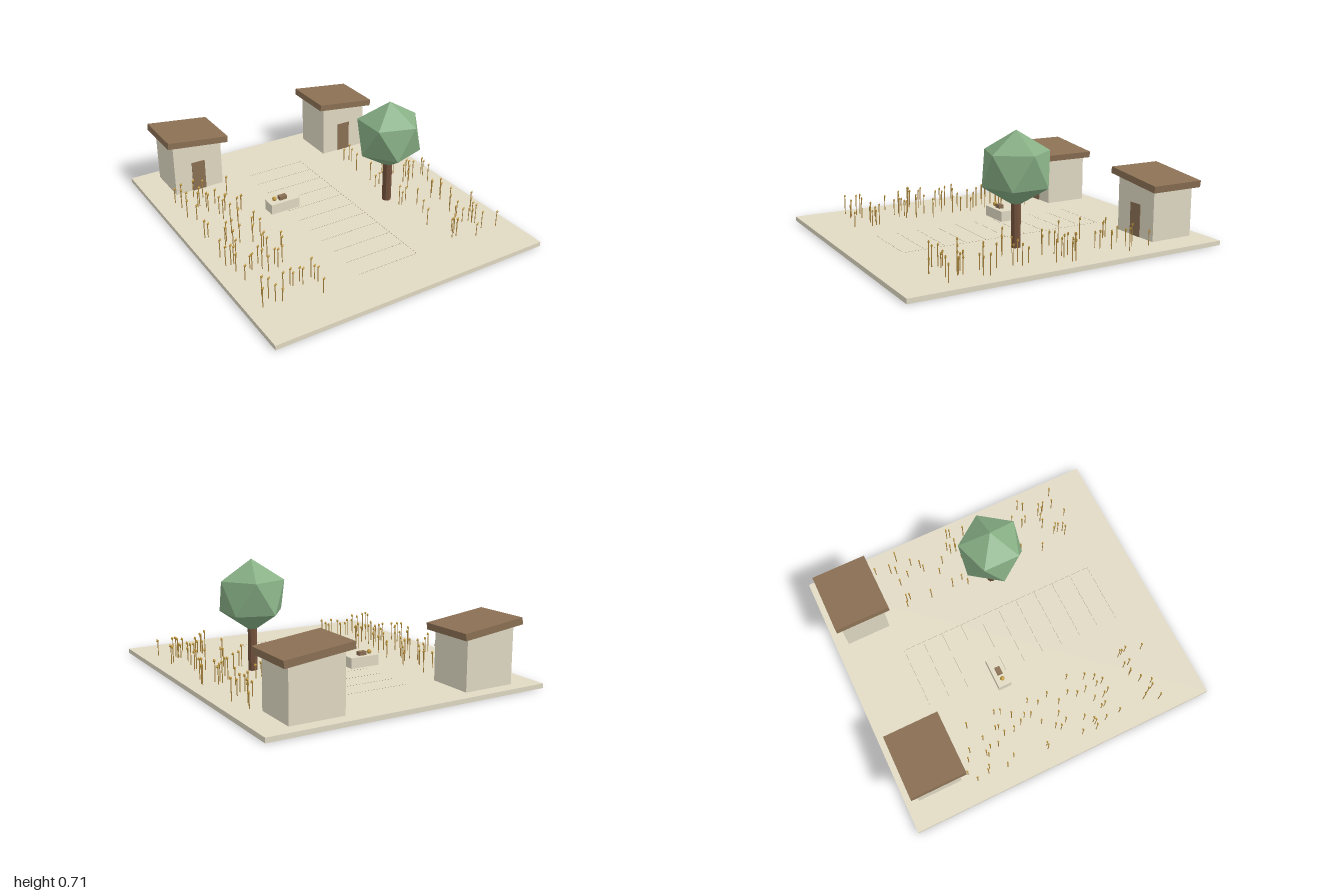
import * as THREE from 'three';

const mat = (name, color) => {
  const m = new THREE.MeshStandardMaterial({ color });
  m.name = name;
  return m;
};

export function createModel() {
  const sand = mat('sand', 0xe1dac4);
  const wood = mat('wood', 0x8b7054);
  const bark = mat('bark', 0x75533d);
  const leaf = mat('leaf', 0x87af85);
  const straw = mat('straw', 0xb08a42);
  const grain = mat('grain', 0xc29a3e);
  const soil = mat('soil', 0x8b7355);
  for (const m of [bark, leaf, grain]) m.flatShading = true;

  const root = new THREE.Group();
  root.name = 'farmYard';
  const add = (parent, name, geo, material, x = 0, y = 0, z = 0) => {
    const mesh = new THREE.Mesh(geo, material);
    mesh.name = name;
    mesh.position.set(x, y, z);
    parent.add(mesh);
    return mesh;
  };
  const box = (w, h, d) => new THREE.BoxGeometry(w, h, d);
  const G = 0.028; // ground level

  add(root, 'ground', box(1.78, G, 2), sand, 0, G / 2, 0);

  // Two huts with sloping slab roofs
  for (const x of [-0.556, 0.556]) {
    const hut = new THREE.Group();
    hut.name = 'hut';
    hut.position.set(x, 0, -0.776);
    add(hut, 'walls', box(0.328, 0.332, 0.284), sand, 0, G + 0.166, 0);
    add(hut, 'door', box(0.09, 0.2, 0.008), wood, 0, G + 0.1, 0.142);
    add(hut, 'roof', box(0.409, 0.041, 0.346), wood, 0, 0.374, 0).rotation.z = -0.12;
    root.add(hut);
  }

  // Tree: trunk and faceted crown with one vertex straight up
  const tree = new THREE.Group();
  tree.name = 'tree';
  tree.position.set(0.409, 0, 0.11);
  add(tree, 'trunk', new THREE.CylinderGeometry(0.029, 0.029, 0.28, 8), bark, 0, G + 0.14, 0);
  const crown = new THREE.IcosahedronGeometry(0.22, 0);
  crown.rotateZ(Math.atan(2 / (1 + Math.sqrt(5))));
  crown.rotateY(Math.PI);
  add(tree, 'crown', crown, leaf, 0, 0.486, 0);
  root.add(tree);

  // Stone table with a ball and a small block
  const table = new THREE.Group();
  table.name = 'stoneTable';
  table.position.set(-0.213, 0, -0.139);
  add(table, 'slab', box(0.198, 0.066, 0.086), sand, 0, G + 0.033, 0);
  add(table, 'ball', new THREE.SphereGeometry(0.015, 8, 6), grain, -0.056, 0.109, 0);
  add(table, 'block', box(0.05, 0.024, 0.032), wood, 0, 0.106, 0);
  root.add(table);

  // Fine furrow lines with a border on their right
  const furrowGeo = box(0.4, 0.001, 0.001);
  for (let i = 0; i < 11; i++) {
    add(root, 'furrow', furrowGeo, soil, -0.005, G, 0.715 - i * 0.133);
  }
  add(root, 'furrowBorder', box(0.001, 0.001, 1.33), soil, 0.195, G, 0.05);

  // Scattered grain stalks in a field on each side
  let seed = 7;
  const rand = () => (seed = (seed * 16807) % 2147483647) / 2147483647;
  const stemGeo = new THREE.CylinderGeometry(0.003, 0.003, 1, 4);
  const earGeo = new THREE.OctahedronGeometry(1, 0).scale(0.01, 0.013, 0.007);
  const field = (name, count, side) => {
    const group = new THREE.Group();
    group.name = name;
    for (let i = 0; i < count; i++) {
      const x = side * (0.43 + rand() * 0.37);
      const z = -0.62 + rand() * 1.38;
      if (z < -0.6 && Math.abs(x) < 0.74) continue;
      const h = 0.075 + rand() * 0.055;
      add(group, 'stem', stemGeo, straw, x, G + h / 2, z).scale.y = h;
      add(group, 'ear', earGeo, grain, x + 0.003, G + h + 0.004, z).rotation.z = -0.4;
    }
    root.add(group);
  };
  field('rightField', 70, -1);
  field('leftField', 56, 1);

  return root;
}
